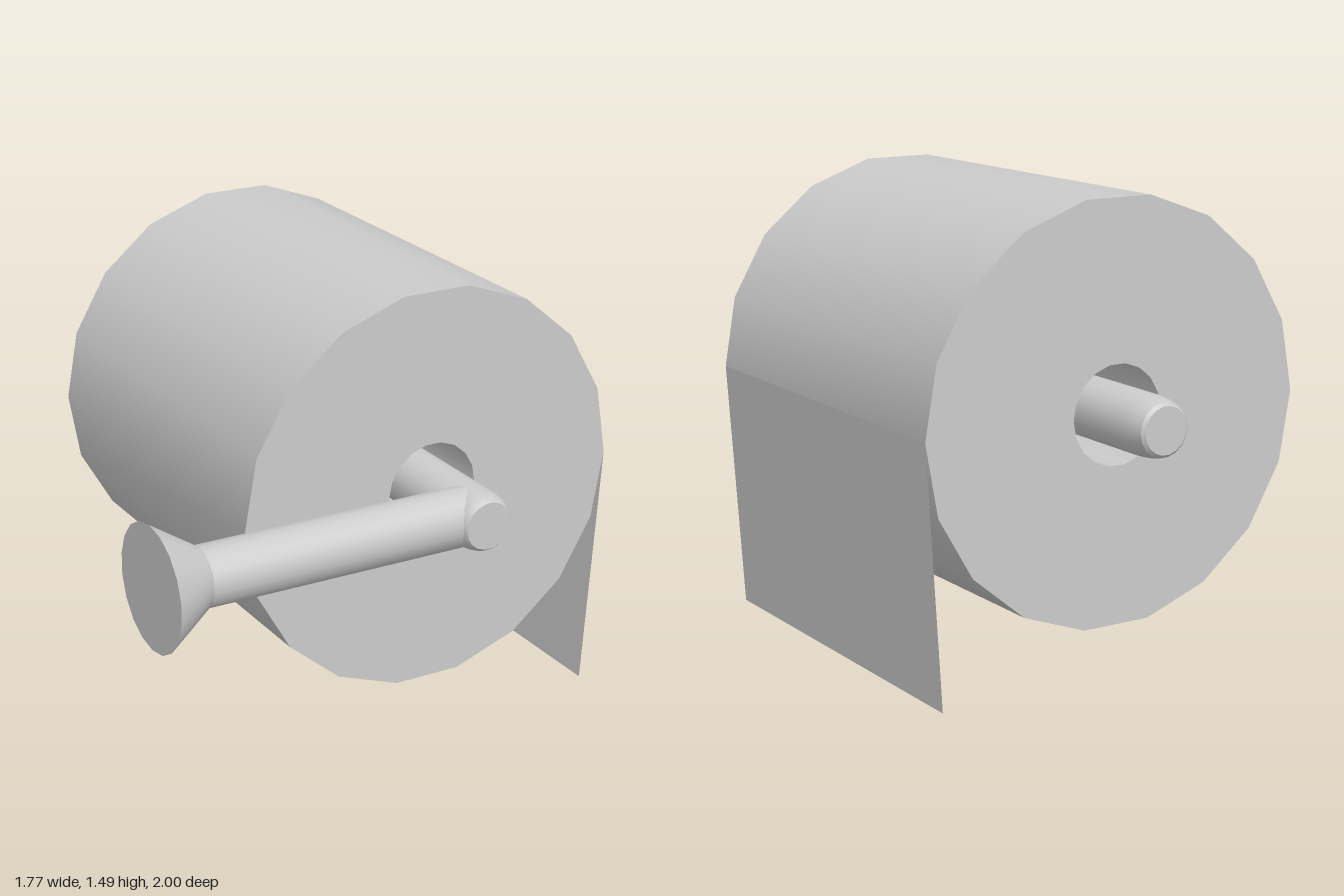
import * as THREE from 'three';
import { toCreasedNormals } from 'three/addons/utils/BufferGeometryUtils.js';

const SIDES = 18;
const AXIS_X = 0.21, AXIS_Y = 0.83;   // shared axis of roll and spindle
const ROLL_BACK = -0.75, ROLL_FRONT = 0.58, ROLL_RADIUS = 0.675;

// Turned part from [radius, height] pairs, with a corner facing +x
function turned(name, points, material) {
  const profile = points.map(([r, h]) => new THREE.Vector2(r, h));
  const geometry = new THREE.LatheGeometry(profile, SIDES, Math.PI / 2);
  const mesh = new THREE.Mesh(toCreasedNormals(geometry, 0.5), material);
  mesh.name = name;
  return mesh;
}

export function createModel() {
  const model = new THREE.Group();
  model.name = 'paperRollHolder';
  const grey = new THREE.MeshStandardMaterial({ color: 0xcccccc });
  const thin = new THREE.MeshStandardMaterial({ color: 0xcccccc, side: THREE.DoubleSide });

  // Paper roll with its open core
  const roll = turned('paperRoll', [
    [0.16, ROLL_BACK], [ROLL_RADIUS, ROLL_BACK], [ROLL_RADIUS, ROLL_FRONT],
    [0.16, ROLL_FRONT], [0.16, ROLL_BACK],
  ], grey);
  roll.rotation.x = Math.PI / 2;
  roll.position.set(AXIS_X, AXIS_Y, 0);
  model.add(roll);

  // Loose sheet hanging from the right edge of the roll
  const top = new THREE.Vector2(AXIS_X + ROLL_RADIUS, AXIS_Y);
  const bottom = new THREE.Vector2(0.835, 0);
  const sheetGeometry = new THREE.PlaneGeometry(ROLL_FRONT - ROLL_BACK, top.distanceTo(bottom));
  sheetGeometry.rotateY(Math.PI / 2);
  const sheet = new THREE.Mesh(sheetGeometry, thin);
  sheet.name = 'hangingSheet';
  sheet.rotation.z = -Math.atan2(top.x - bottom.x, top.y - bottom.y);
  sheet.position.set((top.x + bottom.x) / 2, (top.y + bottom.y) / 2, (ROLL_FRONT + ROLL_BACK) / 2);
  model.add(sheet);

  // Spindle with softly rounded ends
  const spindle = turned('spindle', [
    [0, -1], [0.075, -1], [0.085, -0.99], [0.092, -0.96], [0.097, -0.91],
    [0.097, 0.85], [0.092, 0.88], [0.085, 0.897], [0.078, 0.905], [0, 0.905],
  ], grey);
  spindle.rotation.x = Math.PI / 2;
  spindle.position.set(AXIS_X, AXIS_Y, 0);
  model.add(spindle);

  // Side arm flaring out into the wall mount
  const arm = turned('armAndWallMount', [
    [0, -0.89], [0.2, -0.89], [0.096, -0.732], [0.096, 0.2], [0, 0.2],
  ], grey);
  arm.rotation.z = -Math.PI / 2;
  arm.position.set(0, AXIS_Y, 0.8);
  model.add(arm);

  return model;
}
